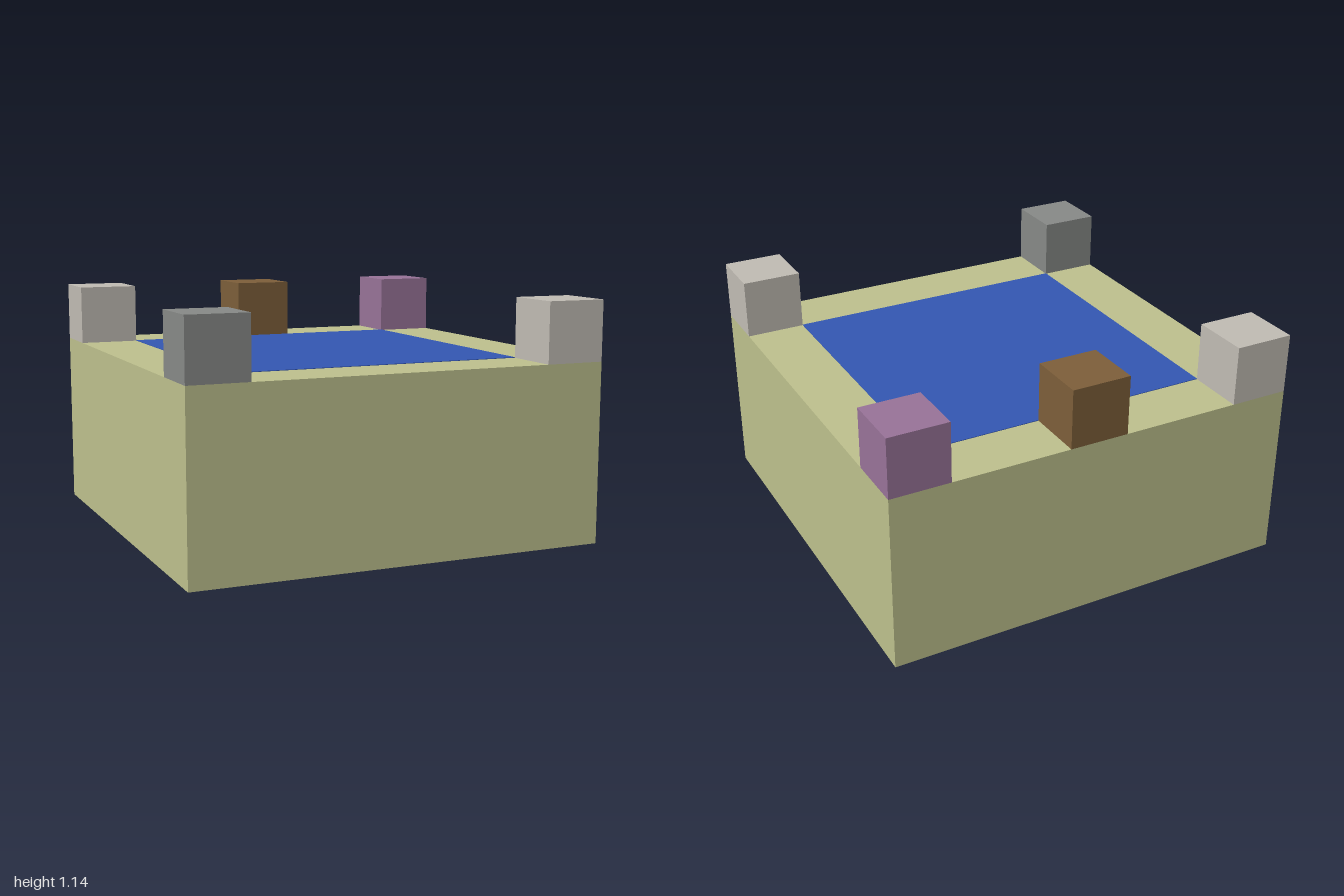
import * as THREE from 'three';

const U = 2 / 7; // one block: the base is 7 x 3 x 7 blocks

const material = (name, color) => {
  const m = new THREE.MeshStandardMaterial({ color });
  m.name = name;
  return m;
};

export function createModel() {
  const group = new THREE.Group();
  const sand = material('sand', 0xbcbf8c);
  const water = material('water blue', 0x3356b1);
  const paleStone = material('pale stone', 0xbfbab2);
  const darkStone = material('dark stone', 0x868886);
  const purple = material('purple', 0x977297);
  const wood = material('wood brown', 0x7c5e39);

  // Box sized and placed in block units, standing on y
  const addBox = (name, mat, [w, h, d], [x, y, z]) => {
    const mesh = new THREE.Mesh(new THREE.BoxGeometry(w * U, h * U, d * U), mat);
    mesh.name = name;
    mesh.position.set(x * U, (y + h / 2) * U, z * U);
    group.add(mesh);
  };

  // Sand base with a pool surface level with its rim
  addBox('base', sand, [7, 3, 7], [0, 0, 0]);
  addBox('waterSurface', water, [5, 0.01, 5], [0, 3, 0]);

  // Single blocks on the rim: four corners and the middle of the back
  const blocks = [
    ['backRightBlock', paleStone, -3, -3],
    ['backLeftBlock', purple, 3, -3],
    ['frontRightBlock', darkStone, -3, 3],
    ['frontLeftBlock', paleStone, 3, 3],
    ['backMiddleBlock', wood, 0, -3],
  ];
  for (const [name, mat, x, z] of blocks) addBox(name, mat, [1, 1, 1], [x, 3, z]);

  return group;
}
